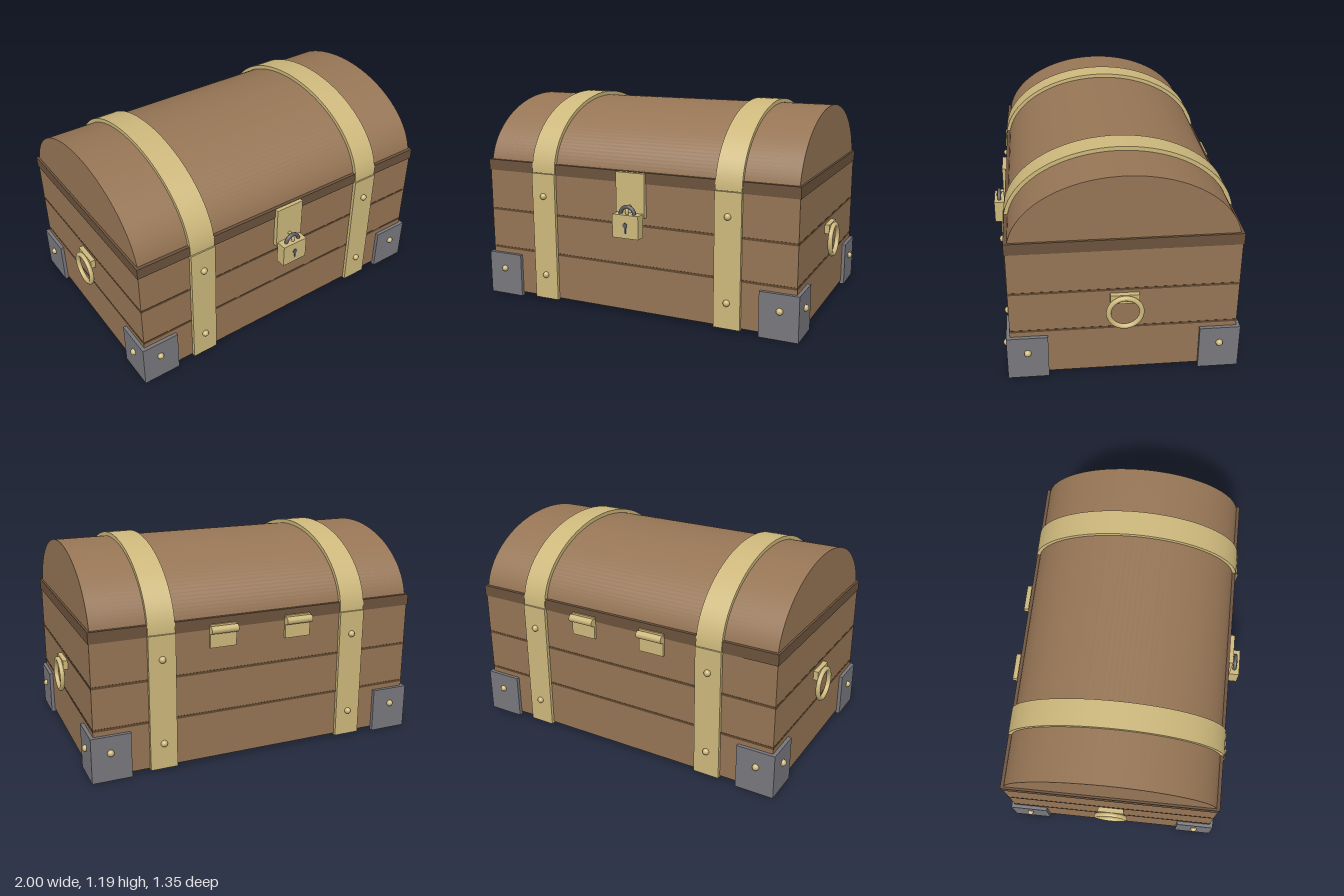
import * as THREE from 'three';

const mat = (name, color) => {
  const m = new THREE.MeshStandardMaterial({ color });
  m.name = name;
  return m;
};

export function createModel() {
  const wood = mat('wood', 0x967555);
  const darkWood = mat('dark wood', 0x6b523c);
  const groove = mat('groove', 0x604830);
  const brass = mat('brass', 0xcdb87c);
  const iron = mat('iron', 0x78777d);
  const darkIron = mat('dark iron', 0x5c5c62);

  const chest = new THREE.Group();
  chest.name = 'chest';
  const body = new THREE.Group(); // centred on the box, slightly behind the origin
  body.name = 'chestBody';
  body.position.z = -0.025;
  chest.add(body);

  const add = (name, geo, material, x, y, z, parent = body) => {
    const m = new THREE.Mesh(geo, material);
    m.name = name;
    m.position.set(x, y, z);
    parent.add(m);
    return m;
  };
  const box = (name, material, w, h, d, x, y, z, parent) =>
    add(name, new THREE.BoxGeometry(w, h, d), material, x, y, z, parent);
  const halfBarrel = (name, material, length, height, depth, x) => {
    const g = new THREE.CylinderGeometry(1, 1, 1, 64, 1, false, 0, Math.PI);
    g.rotateZ(Math.PI / 2);
    g.scale(length, height, depth);
    return add(name, g, material, x, 0.77, 0);
  };
  const rivetGeo = new THREE.SphereGeometry(0.019, 16, 12);
  const rivet = (x, y, z) => add('rivet', rivetGeo, brass, x, y, z);

  // Box, plank grooves, rim and domed lid
  box('box', wood, 1.9, 0.745, 1.21, 0, 0.3925, 0);
  for (const y of [0.288, 0.524]) box('plankGroove', groove, 1.903, 0.014, 1.213, 0, y, 0);
  box('rim', darkWood, 1.91, 0.063, 1.22, 0, 0.7935, 0);
  halfBarrel('lid', wood, 1.885, 0.4, 0.597, 0);

  // Lid bands with vertical straps and rivets
  for (const x of [-0.57, 0.57]) {
    halfBarrel('lidBand', brass, 0.15, 0.422, 0.618, x);
    for (const s of [-1, 1]) {
      box('strap', brass, 0.152, 0.755, 0.025, x, 0.3905, s * 0.6115);
      for (const y of [0.16, 0.635]) rivet(x, y, s * 0.626);
    }
  }

  // Iron corner brackets
  for (const sx of [-1, 1]) for (const sz of [-1, 1]) {
    box('cornerPlateFront', iron, 0.22, 0.255, 0.025, sx * 0.86, 0.1275, sz * 0.6125);
    box('cornerPlateSide', iron, 0.025, 0.255, 0.22, sx * 0.9575, 0.1275, sz * 0.515);
    rivet(sx * 0.865, 0.16, sz * 0.626);
    rivet(sx * 0.972, 0.16, sz * 0.515);
  }

  // Ring handles
  for (const s of [-1, 1]) {
    box('handleMount', brass, 0.03, 0.052, 0.152, s * 0.962, 0.476, 0);
    const ring = add('handleRing', new THREE.TorusGeometry(0.087, 0.0135, 12, 40), brass, s * 0.9865, 0.402, 0);
    ring.rotation.y = Math.PI / 2;
  }

  // Back hinges
  for (const x of [-0.223, 0.223]) {
    box('hingeLeafLower', brass, 0.152, 0.1, 0.018, x, 0.71, -0.611);
    box('hingeLeafUpper', brass, 0.152, 0.03, 0.014, x, 0.775, -0.613);
    const barrel = add('hingeBarrel', new THREE.CylinderGeometry(0.021, 0.021, 0.155, 20), brass, x, 0.761, -0.629);
    barrel.rotation.z = Math.PI / 2;
  }

  // Hasp and padlock
  const lock = new THREE.Group();
  lock.name = 'lock';
  chest.add(lock);
  box('haspPlate', brass, 0.174, 0.25, 0.026, 0, 0.698, 0.594, lock);
  const staple = add('staple', new THREE.TorusGeometry(0.026, 0.009, 10, 24), brass, 0, 0.612, 0.62, lock);
  staple.rotation.y = Math.PI / 2;
  box('padlock', brass, 0.158, 0.132, 0.06, 0, 0.533, 0.638, lock);
  add('shackle', new THREE.TorusGeometry(0.042, 0.011, 12, 28, Math.PI), darkIron, 0, 0.597, 0.638, lock);

  // Keyhole
  const hole = add('keyhole', new THREE.CylinderGeometry(0.014, 0.014, 0.005, 20), darkIron, 0, 0.541, 0.6695, lock);
  hole.rotation.x = Math.PI / 2;
  box('keyholeSlot', darkIron, 0.011, 0.04, 0.004, 0, 0.516, 0.6695, lock);

  return chest;
}
